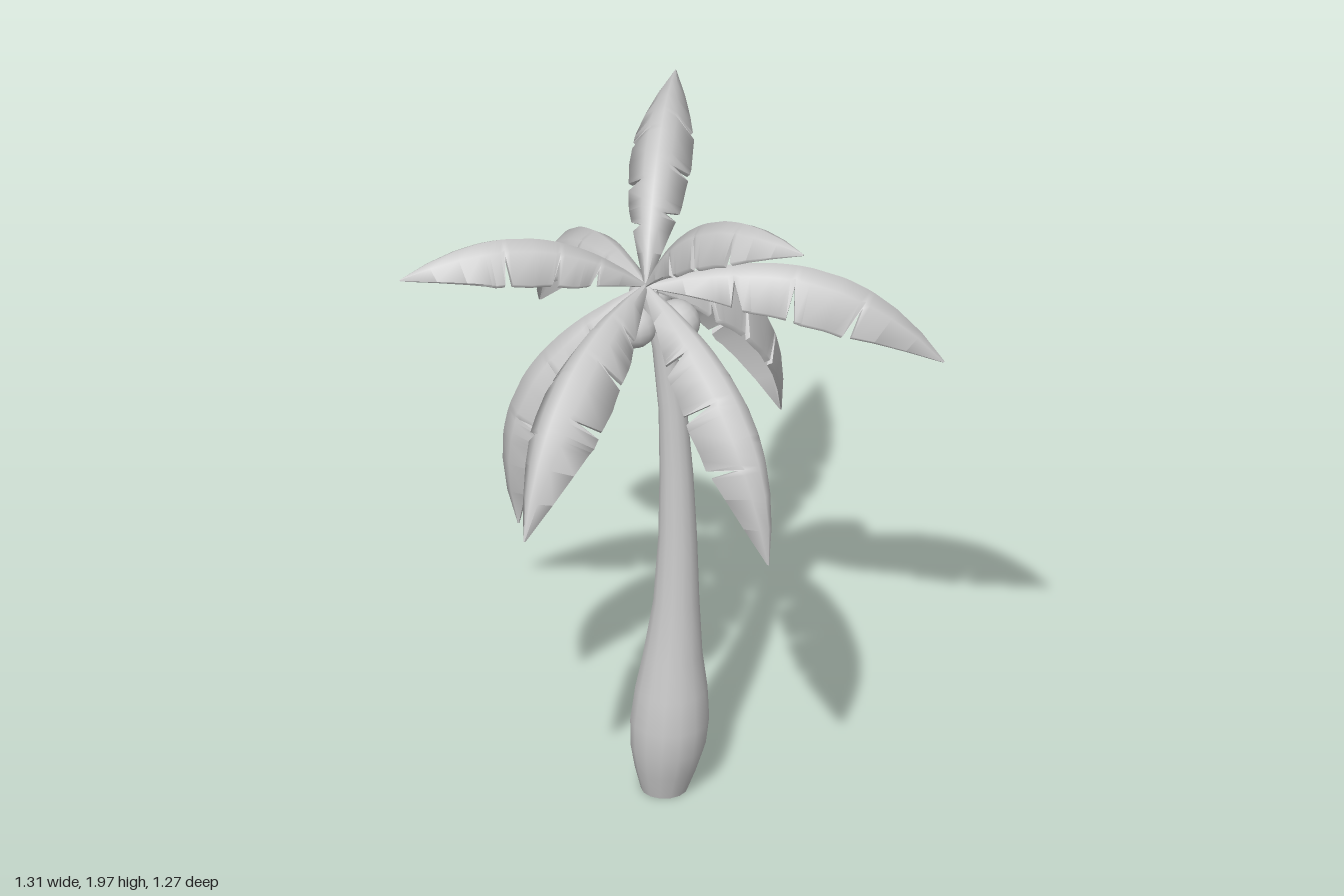
import * as THREE from 'three';
import { toCreasedNormals } from 'three/addons/utils/BufferGeometryUtils.js';

const material = new THREE.MeshStandardMaterial({ color: 0xcccccc });
const HUB = new THREE.Vector3(0.035, 1.6, -0.04);

// Skin a list of closed rings and cap both ends
function loft(rings, crease) {
  const n = rings[0].length, pos = rings.flat(2), index = [];
  for (let i = 0; i < rings.length - 1; i++) {
    for (let j = 0; j < n; j++) {
      const a = i * n + j, b = i * n + (j + 1) % n;
      index.push(a, b, a + n, b, b + n, a + n);
    }
  }
  const last = (rings.length - 1) * n;
  for (let j = 1; j < n - 1; j++) {
    index.push(0, j + 1, j, last, last + j, last + j + 1);
  }
  const geo = new THREE.BufferGeometry();
  geo.setAttribute('position', new THREE.Float32BufferAttribute(pos, 3));
  geo.setIndex(index);
  return toCreasedNormals(geo, crease);
}

// Linear lookup in a list of [x, y] pairs
function lookup(table, x) {
  const i = Math.max(1, table.findIndex(p => p[0] >= x));
  const [a, b] = [table[i - 1], table[i]];
  return THREE.MathUtils.mapLinear(x, a[0], b[0], a[1], b[1]);
}

const LEAF_WIDTH = [[0, 0.08], [0.12, 0.45], [0.28, 0.84], [0.5, 1], [0.68, 0.95], [0.86, 0.6], [1, 0.03]];
const NOTCHES = { '-1': [0.2, 0.38, 0.62], '1': [0.25, 0.45, 0.7] };
const NOTCH_HALF = 0.018;

// Arched leaf, folded along its ridge, with V-shaped cuts in both edges.
// (reach, rise) is the tip relative to the hub; local x points outward.
function frondGeometry(reach, rise, bulge, halfWidth) {
  const len = Math.hypot(reach, rise), cx = reach / len, cy = rise / len;
  const rows = [];
  for (let i = 0; i <= 10; i++) rows.push(i / 10);
  for (const side of [-1, 1]) {
    for (const k of NOTCHES[side]) rows.push(k - NOTCH_HALF, k, k + NOTCH_HALF);
  }
  const us = [...new Set(rows)].sort((a, b) => a - b);
  const edge = (u, side) => NOTCHES[side].reduce(
    (f, k) => f - 0.5 * Math.max(0, 1 - Math.abs(u - k) / NOTCH_HALF), 1);
  const fold = [[0, 0], [0.42, 0.25], [0.75, 0.68], [1, 1.15]];

  const rings = us.map(u => {
    const along = u * len, up = 4 * bulge * u * (1 - u) * (0.9 + 0.2 * u);
    const slope = 4 * bulge * (0.9 - 1.4 * u - 0.6 * u * u) / len;
    const m = Math.hypot(1, slope);
    const px = along * cx - up * cy, py = along * cy + up * cx;
    const nx = (-slope * cx - cy) / m, ny = (cx - slope * cy) / m;
    const w = halfWidth * lookup(LEAF_WIDTH, u);
    const thick = 0.013 * Math.min(1, w / halfWidth + 0.1);
    const point = (a, side, inner) => {
      const f = Math.min(a, edge(u, side) * (a < 1 ? 0.5 + a / 2 : 1));
      const drop = lookup(fold, f) * w + inner * thick;
      const z = side * Math.max(0, f * w - inner * thick * 0.7 * f);
      return [px - nx * drop, py - ny * drop, z];
    };
    const strip = inner => [
      point(1, -1, inner), point(0.42, -1, inner), point(0, 1, inner),
      point(0.42, 1, inner), point(1, 1, inner)];
    return [...strip(0), ...strip(1).reverse()];
  });
  return loft(rings, 1.2);
}

export function createModel() {
  const model = new THREE.Group();
  model.name = 'palmTree';
  const add = (name, geometry) => {
    const mesh = new THREE.Mesh(geometry, material);
    mesh.name = name;
    model.add(mesh);
    return mesh;
  };

  // Trunk: y, centre x, centre z, radius
  const trunk = [
    [0, 0.063, -0.083, 0.064], [0.07, 0.067, -0.086, 0.086], [0.14, 0.071, -0.09, 0.103],
    [0.22, 0.074, -0.093, 0.108], [0.32, 0.077, -0.096, 0.099], [0.43, 0.081, -0.098, 0.081],
    [0.6, 0.09, -0.103, 0.063], [0.8, 0.092, -0.106, 0.053], [1.0, 0.089, -0.104, 0.046],
    [1.2, 0.081, -0.098, 0.039], [1.4, 0.066, -0.08, 0.033], [1.58, 0.038, -0.045, 0.026]];
  add('trunk', loft(trunk.map(([y, x, z, r]) =>
    Array.from({ length: 14 }, (_, k) => {
      const t = k / 14 * Math.PI * 2;
      return [x + r * Math.cos(t), y, z - r * Math.sin(t)];
    })), 0.8));

  // Fronds by tip position: nearly equal leaves at different pitches
  const tips = [
    [0.595, 1.37, -0.635], [0.58, 0.96, -0.01], [0.3, 1.16, 0.635],
    [-0.21, 0.83, 0.21], [-0.65, 1.165, -0.255], [-0.03, 0.96, -0.59],
    [0.655, 1.955, -0.07], [-0.25, 1.735, 0.605], [-0.4, 1.895, -0.53]];
  tips.forEach(([x, y, z], i) => {
    const dx = x - HUB.x, dz = z - HUB.z, short = i > 5;
    const frond = add('frond' + (i + 1), frondGeometry(
      Math.hypot(dx, dz), y - HUB.y, short ? 0.135 : 0.18, short ? 0.086 : 0.104));
    frond.position.copy(HUB);
    frond.rotation.y = Math.atan2(-dz, dx);
  });

  // Coconuts clustered under the crown
  const nuts = [[-0.015, 1.52, -0.1, 0.06], [0.095, 1.48, -0.1, 0.065], [0.015, 1.47, -0.015, 0.065]];
  nuts.forEach(([x, y, z, r], i) =>
    add('coconut' + (i + 1), new THREE.SphereGeometry(r, 14, 10)).position.set(x, y, z));

  return model;
}
